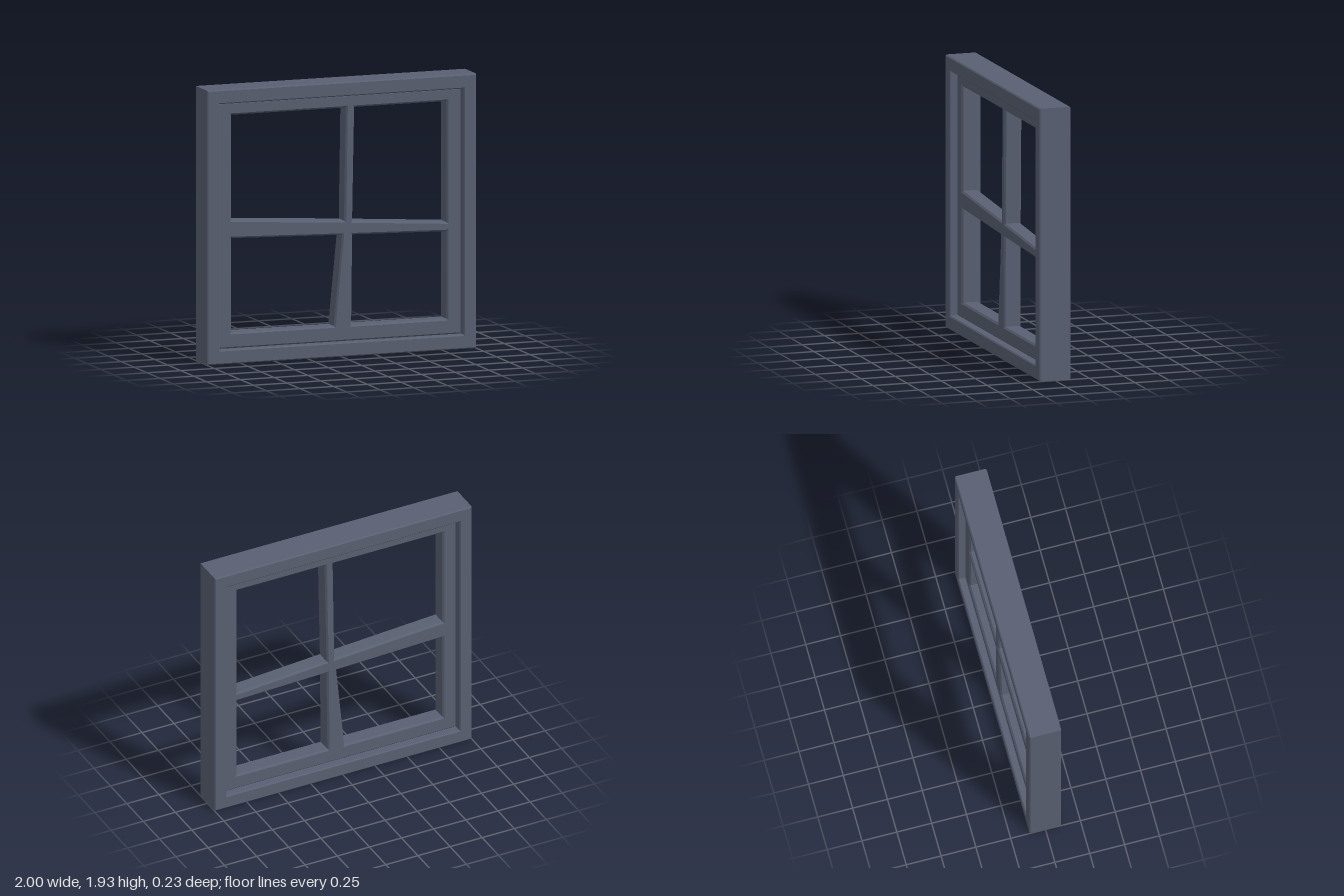
import * as THREE from 'three';

const material = new THREE.MeshStandardMaterial({ color: 0x596072 });

const rect = (x, y0, y1) => [[-x, y0], [x, y0], [x, y1], [-x, y1]];

// Bevelled slab with openings, centred on z = 0
function slab(name, outline, openings, depth, bevel) {
  const points = (list) => list.map(([x, y]) => new THREE.Vector2(x, y));
  const shape = new THREE.Shape(points(outline));
  shape.holes = openings.map((o) => new THREE.Path(points(o)));
  const geometry = new THREE.ExtrudeGeometry(shape, {
    depth: depth - 2 * bevel,
    bevelSize: bevel,
    bevelThickness: bevel,
    bevelOffset: -bevel,
    bevelSegments: 1,
  });
  geometry.translate(0, 0, bevel - depth / 2);
  const mesh = new THREE.Mesh(geometry, material);
  mesh.name = name;
  return mesh;
}

export function createModel() {
  const group = new THREE.Group();
  group.name = 'window';

  // Outer casing
  group.add(slab('outerFrame', rect(1, 0, 1.93), [rect(0.905, 0.1, 1.83)], 0.23, 0.008));

  // Recessed sash: the four uneven panes leave the crooked glazing bars between them
  const panes = [
    [[-0.8, 1.0], [0.04, 0.945], [0.052, 1.74], [-0.8, 1.74]],
    [[0.1, 0.94], [0.8, 0.89], [0.8, 1.74], [0.115, 1.74]],
    [[-0.8, 0.21], [-0.037, 0.21], [0.025, 0.847], [-0.8, 0.873]],
    [[0.093, 0.21], [0.8, 0.21], [0.8, 0.825], [0.1, 0.845]],
  ];
  group.add(slab('sash', rect(0.907, 0.098, 1.832), panes, 0.125, 0.012));

  return group;
}
